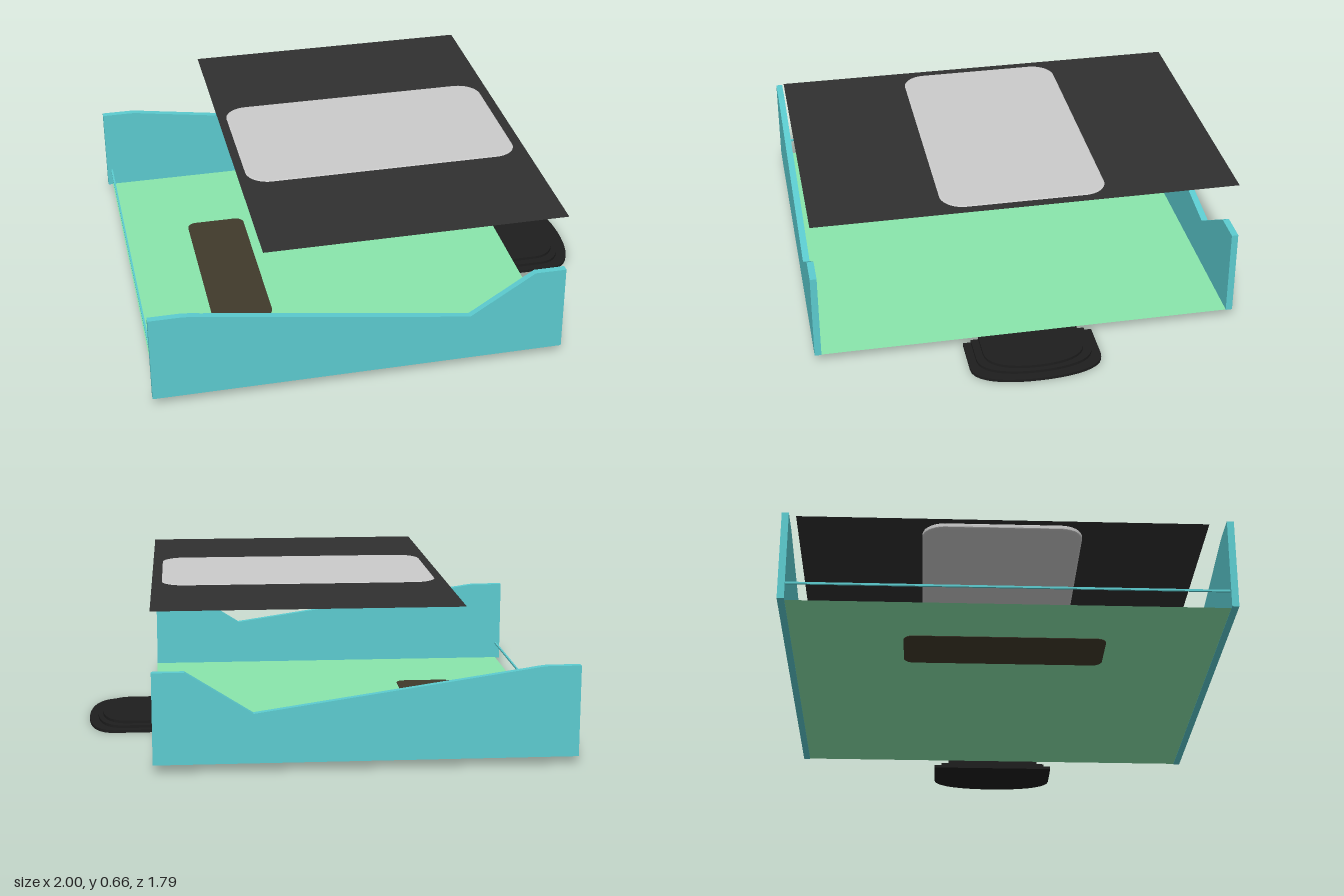
import * as THREE from 'three';

const mat = (color) => new THREE.MeshStandardMaterial({ color, side: THREE.DoubleSide });
const teal = mat(0x5cccd0), green = mat(0x8ae6ac), dark = mat(0x303030);
const black = mat(0x1e1e1e), brown = mat(0x403a2b), grey = mat(0xcccccc);

// Rounded rectangle centred on (cx, 0)
function roundedRect(cx, w, h, r) {
  const s = new THREE.Shape(), x0 = cx - w / 2, x1 = cx + w / 2, y = h / 2;
  s.moveTo(x0 + r, -y);
  s.lineTo(x1 - r, -y).absarc(x1 - r, -y + r, r, -Math.PI / 2, 0, false);
  s.lineTo(x1, y - r).absarc(x1 - r, y - r, r, 0, Math.PI / 2, false);
  s.lineTo(x0 + r, y).absarc(x0 + r, y - r, r, Math.PI / 2, Math.PI, false);
  s.lineTo(x0, -y + r).absarc(x0 + r, -y + r, r, Math.PI, Math.PI * 1.5, false);
  return s;
}

// Horizontal slab from a plan outline, with its bottom at y
function slab(shape, y, thickness) {
  const g = new THREE.ExtrudeGeometry(shape, { depth: thickness, bevelEnabled: false, curveSegments: 10 });
  return g.rotateX(-Math.PI / 2).translate(0, y, 0);
}

// Flat sheet between x0 and x1
function sheet(x0, x1, depth, y) {
  return new THREE.PlaneGeometry(x1 - x0, depth).rotateX(-Math.PI / 2).translate((x0 + x1) / 2, y, 0);
}

export function createModel() {
  const model = new THREE.Group();
  const add = (name, geometry, material) => {
    const m = new THREE.Mesh(geometry, material);
    m.name = name;
    model.add(m);
  };

  // Sloping side panels with a raised lip at the open end
  const side = new THREE.Shape();
  side.moveTo(-1, 0.035);
  side.lineTo(0.71, 0.035);
  side.lineTo(0.71, 0.41);
  side.lineTo(0.58, 0.41);
  side.lineTo(0.31, 0.238);
  side.lineTo(-0.79, 0.4);
  side.quadraticCurveTo(-0.85, 0.41, -0.87, 0.41);
  side.lineTo(-1, 0.41);
  for (const [name, z] of [['frontPanel', 0.865], ['backPanel', -0.893]]) {
    const g = new THREE.ExtrudeGeometry(side, { depth: 0.028, bevelEnabled: false });
    add(name, g.translate(0, 0, z), teal);
  }

  // Floor with a rounded inset strip, and the cross rod at the closed end
  add('floor', sheet(-0.98, 0.71, 1.74, 0.037), green);
  add('floorStrip', slab(roundedRect(-0.55, 0.26, 0.82, 0.04), 0.035, 0.004), brown);
  add('crossRod', new THREE.BoxGeometry(0.008, 0.008, 1.74).translate(-0.979, 0.111, 0), teal);

  // Raised cover sheet with a rounded window plate
  add('coverSheet', sheet(-0.535, 0.71, 1.76, 0.654), dark);
  const plate = new THREE.ExtrudeGeometry(roundedRect(0.085, 1.15, 0.67, 0.09), {
    depth: 0.012, bevelThickness: 0.005, bevelSize: 0.01, bevelSegments: 3, curveSegments: 10,
  });
  add('windowPlate', plate.rotateX(-Math.PI / 2).translate(0, 0.639, 0), grey);

  // Stepped tongue: three stacked layers with a bowed outer end
  const layers = [[0.275, 1.0, 0, 0.012], [0.242, 0.962, 0.012, 0.012], [0.21, 0.942, 0.024, 0.012]];
  layers.forEach(([w, tip, y, t], i) => {
    const s = new THREE.Shape();
    s.moveTo(0.707, -w);
    s.lineTo(tip - 0.12, -w);
    s.bezierCurveTo(tip - 0.03, -w, tip, -w * 0.5, tip, 0);
    s.bezierCurveTo(tip, w * 0.5, tip - 0.03, w, tip - 0.12, w);
    s.lineTo(0.707, w);
    add('tongueLayer' + (i + 1), slab(s, y, t), black);
  });

  return model;
}
